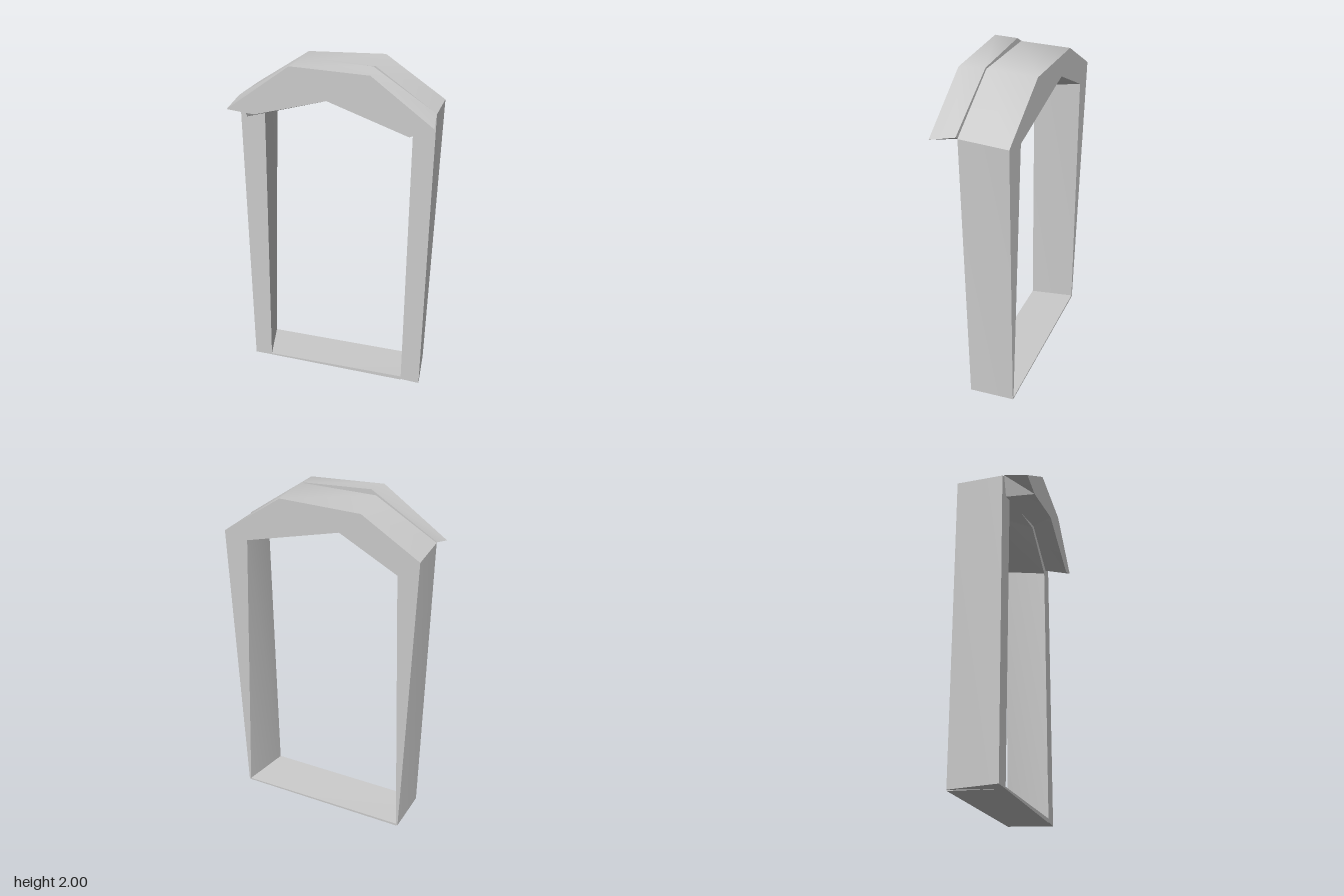
import * as THREE from 'three';
import { toCreasedNormals } from 'three/addons/utils/BufferGeometryUtils.js';

const material = new THREE.MeshStandardMaterial({ color: 0xcccccc, side: THREE.DoubleSide });

// Solid between two matching outlines, listed clockwise as seen from the front.
function loft(name, front, back, zFront, zBack) {
  const F = front.map(([x, y]) => [x, y, zFront]);
  const B = back.map(([x, y]) => [x, y, zBack]);
  const pos = [];
  const tri = (a, b, c) => pos.push(...a, ...b, ...c);

  // Walls around the outline
  F.forEach((p, i) => {
    const j = (i + 1) % F.length;
    tri(p, B[j], B[i]);
    tri(p, F[j], B[j]);
  });

  // Front and back caps
  for (const [ring, sign] of [[F, 1], [B, -1]]) {
    const points = ring.map(([x, y]) => new THREE.Vector2(x, y));
    for (const f of THREE.ShapeUtils.triangulateShape(points, [])) {
      const area = THREE.ShapeUtils.area(f.map((k) => points[k]));
      const [a, b, c] = f.map((k) => ring[k]);
      if (area * sign > 0) tri(a, b, c);
      else tri(a, c, b);
    }
  }

  const geometry = new THREE.BufferGeometry();
  geometry.setAttribute('position', new THREE.Float32BufferAttribute(pos, 3));
  const mesh = new THREE.Mesh(toCreasedNormals(geometry, 0.75), material);
  mesh.name = name;
  return mesh;
}

export function createModel() {
  const group = new THREE.Group();
  group.name = 'archway';

  // Legs and arched top: outer edge left to right, then inner edge back
  group.add(loft('archFrame',
    [[-0.55, 0.01], [-0.55, 1.77], [-0.21, 1.975], [0.22, 1.985], [0.55, 1.76], [0.545, 0.005],
      [0.43, 0.01], [0.43, 1.68], [0.12, 1.85], [-0.405, 1.72], [-0.44, 0.01]],
    [[-0.52, 0.005], [-0.55, 1.77], [-0.235, 1.97], [0.21, 1.985], [0.55, 1.76], [0.52, 0.015],
      [0.51, 0.015], [0.415, 1.725], [-0.12, 1.855], [-0.437, 1.68], [-0.51, 0.005]],
    0.06, -0.21));

  // Thin sill joining the feet
  group.add(loft('sill',
    [[-0.44, 0.01], [-0.44, 0.02], [0.43, 0.03], [0.43, 0.005]],
    [[-0.515, 0], [-0.515, 0.015], [0.515, 0.02], [0.515, 0.01]],
    0.06, -0.21));

  // Hood in front of the arch, flaring forward
  group.add(loft('hood',
    [[-0.565, 1.73], [-0.2, 1.99], [0.23, 1.975], [0.565, 1.73],
      [0.44, 1.675], [0, 1.825], [-0.405, 1.715]],
    [[-0.55, 1.77], [-0.18, 2], [0.21, 1.985], [0.55, 1.765],
      [0.43, 1.7], [0.11, 1.855], [-0.51, 1.65]],
    0.21, 0.07));

  return group;
}
